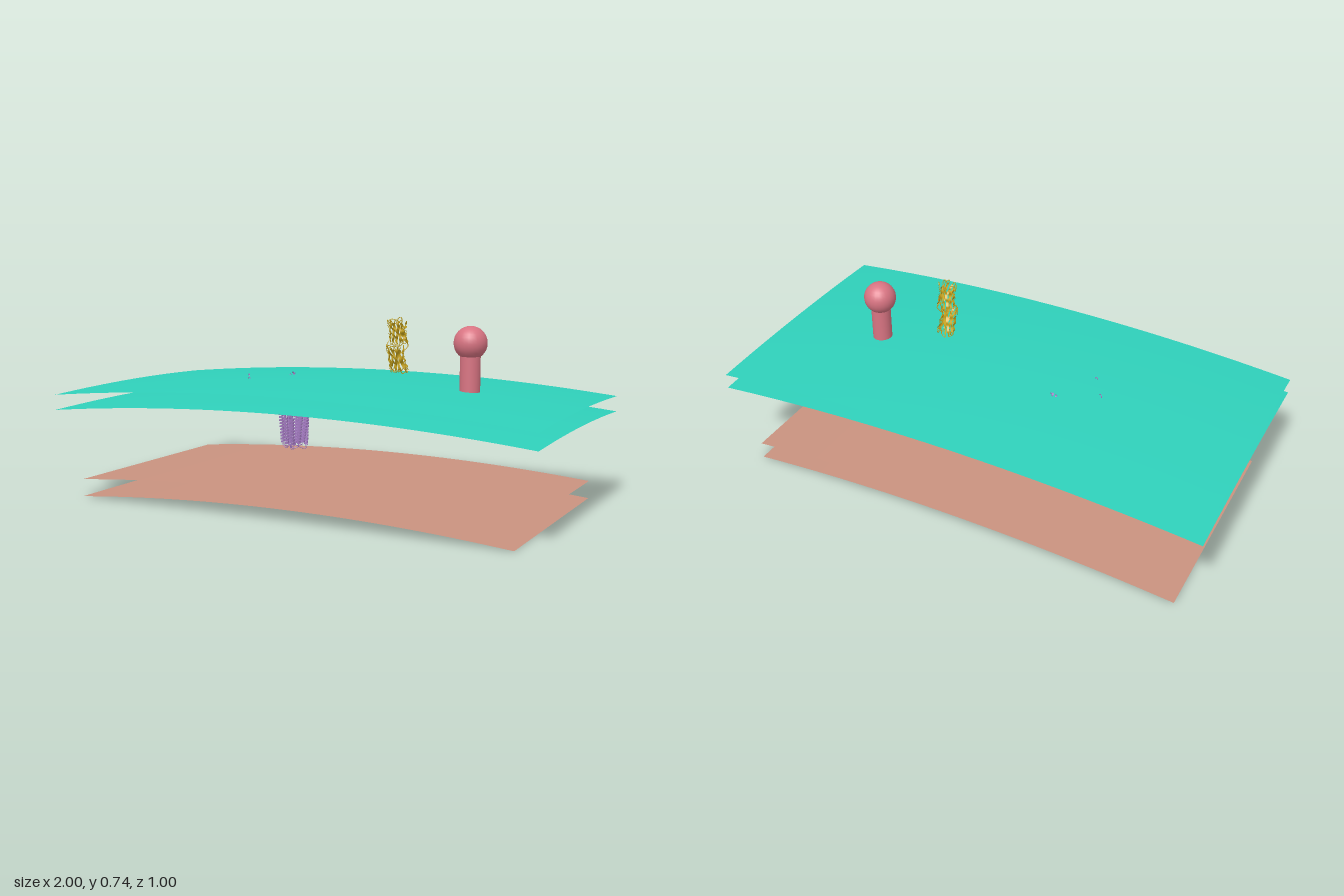
import * as THREE from 'three';
import { mergeGeometries } from 'three/addons/utils/BufferGeometryUtils.js';

const V = (x, y, z) => new THREE.Vector3(x, y, z);
const mat = (name, color, side = THREE.FrontSide) =>
  new THREE.MeshStandardMaterial({ name, color, side });

// small seeded generator, returns -1..1
function seeded(seed) {
  let s = seed;
  return () => {
    s = (s * 16807) % 2147483647;
    return (s / 2147483647) * 2 - 1;
  };
}

// open sheet bent downwards along x and z
function sheet(name, w, d, top, dropX, dropZ, material) {
  const g = new THREE.PlaneGeometry(w, d, 32, dropZ ? 16 : 1).rotateX(-Math.PI / 2);
  const p = g.attributes.position;
  for (let i = 0; i < p.count; i++) {
    const u = p.getX(i) / (w / 2), v = p.getZ(i) / (d / 2);
    p.setY(i, top - dropX * u * u - dropZ * v * v);
  }
  g.computeVertexNormals();
  const m = new THREE.Mesh(g, material);
  m.name = name;
  return m;
}

// flat strip following point(t), with its width along a fixed direction
function ribbon(point, across, n) {
  const pos = [], uv = [], idx = [];
  for (let i = 0; i <= n; i++) {
    const c = point(i / n);
    for (const s of [-0.5, 0.5]) {
      pos.push(...c.clone().addScaledVector(across, s).toArray());
      uv.push(i / n, s + 0.5);
    }
    if (i < n) idx.push(2 * i, 2 * i + 1, 2 * i + 2, 2 * i + 1, 2 * i + 3, 2 * i + 2);
  }
  const g = new THREE.BufferGeometry();
  g.setAttribute('position', new THREE.Float32BufferAttribute(pos, 3));
  g.setAttribute('uv', new THREE.Float32BufferAttribute(uv, 2));
  g.setIndex(idx);
  g.computeVertexNormals();
  return g;
}

function helix(a, b, r = 0.009) {
  const axis = b.clone().sub(a), len = axis.length();
  axis.normalize();
  const u = V(0.31, 0.2, 0.93).cross(axis).normalize();
  const v = axis.clone().cross(u);
  const turns = Math.max(2, Math.round(len / 0.0125));
  return ribbon(t => {
    const k = t * turns * Math.PI * 2;
    return a.clone().addScaledVector(axis, t * len)
      .addScaledVector(u, r * Math.cos(k)).addScaledVector(v, r * Math.sin(k));
  }, axis.clone().multiplyScalar(0.0075), turns * 12);
}

// gently waving flat strand
function strand(a, b, outward) {
  const axis = b.clone().sub(a);
  const across = axis.clone().cross(outward).normalize().multiplyScalar(0.009);
  return ribbon(t => a.clone().addScaledVector(axis, t)
    .addScaledVector(outward, 0.003 * Math.sin(t * 14)), across, 20);
}

const coil = (pts, r = 0.0016) =>
  new THREE.TubeGeometry(new THREE.CatmullRomCurve3(pts), pts.length * 6, r, 5);

// segments joined end to start by thin bulging loops
function chain(name, segments, make, bulge, material) {
  const geos = segments.map(make);
  for (let i = 0; i + 1 < segments.length; i++) {
    const a = segments[i][1], b = segments[i + 1][0];
    const out = a.clone().sub(segments[i][0]).normalize().multiplyScalar(bulge);
    geos.push(coil([a, a.clone().add(out), b.clone().add(out), b]));
  }
  const m = new THREE.Mesh(mergeGeometries(geos), material);
  m.name = name;
  return m;
}

export function createModel() {
  const root = new THREE.Group();
  const teal = mat('teal membrane', 0x2fd0ba, THREE.DoubleSide);
  const clay = mat('clay membrane', 0xc9927f, THREE.DoubleSide);
  const pink = mat('pink receptor', 0xd87482);
  const gold = mat('gold ribbon', 0xc9a51e, THREE.DoubleSide);
  const purple = mat('purple ribbon', 0xa67cc4, THREE.DoubleSide);

  // membranes
  root.add(
    sheet('outerMembraneTop', 2, 1, 0.477, 0.053, 0.011, teal),
    sheet('outerMembraneBottom', 2, 1, 0.416, 0.053, 0.011, teal),
    sheet('innerMembraneTop', 1.82, 0.91, 0.114, 0.044, 0, clay),
    sheet('innerMembraneBottom', 1.82, 0.91, 0.045, 0.045, 0, clay));

  // receptor: stalk and ball
  const receptor = new THREE.Group();
  receptor.name = 'receptor';
  const stalk = new THREE.Mesh(new THREE.CylinderGeometry(0.039, 0.039, 0.21, 24), pink);
  stalk.name = 'receptorStalk';
  stalk.position.y = 0.503;
  const ball = new THREE.Mesh(new THREE.SphereGeometry(0.064, 24, 16), pink);
  ball.name = 'receptorBall';
  ball.position.y = 0.643;
  receptor.add(stalk, ball);
  receptor.position.set(0.56, 0, -0.027);
  root.add(receptor);

  // gold protein: two barrels of strands, one above the other
  const lobes = [
    { name: 'goldUpperLobe', c: V(0.298, 0.678, 0.052), h: 0.033, lean: 0.012 },
    { name: 'goldLowerLobe', c: V(0.286, 0.575, 0.038), h: 0.036, lean: 0.016 }];
  const rnd = seeded(77);
  for (const { name, c, h, lean } of lobes) {
    const segs = [];
    for (let i = 0; i < 13; i++) {
      const k = (i / 13) * Math.PI * 2, s = i % 2 ? 1 : -1;
      const end = e => V(
        c.x + 0.034 * Math.cos(k + e * 0.35) + rnd() * 0.004,
        c.y + e * h + rnd() * 0.008,
        c.z + 0.02 * Math.sin(k + e * 0.35) + e * lean);
      segs.push([end(-s), end(s), V(Math.cos(k), 0, Math.sin(k))]);
    }
    root.add(chain(name, segs, q => strand(...q), 0.013, gold));
  }
  const tail = new THREE.Mesh(mergeGeometries([
    coil([V(0.305, 0.7, 0.06), V(0.32, 0.725, 0.065), V(0.316, 0.738, 0.07), V(0.305, 0.73, 0.072), V(0.31, 0.7, 0.066)]),
    coil([V(0.262, 0.65, 0.05), V(0.255, 0.63, 0.06), V(0.262, 0.605, 0.05)]),
    coil([V(0.32, 0.65, 0.045), V(0.33, 0.63, 0.03), V(0.315, 0.605, 0.04)]),
    coil([V(0.27, 0.55, 0.02), V(0.265, 0.525, 0.018), V(0.28, 0.524, 0.025), V(0.28, 0.55, 0.03)])]), gold);
  tail.name = 'goldLoops';
  root.add(tail);

  // purple helix bundle below the membrane, widening upwards
  const rp = seeded(4211);
  const bundle = [];
  for (let i = 0; i < 14; i++) {
    const inner = i > 9, k = inner ? ((i - 10) / 4) * Math.PI * 2 : (i / 10) * Math.PI * 2;
    const r = inner ? 0.024 : 0.054;
    const at = (y, f) => V(-0.224 + r * f * Math.cos(k) + rp() * 0.005, y + rp() * 0.01,
      -0.067 + r * f * Math.sin(k) + rp() * 0.005);
    const ends = [at(0.192, 0.85), at(0.31, 1.04)];
    bundle.push(i % 2 ? ends.reverse() : ends);
  }
  root.add(chain('purpleHelixBundle', bundle, q => helix(...q), 0.014, purple));

  // purple globular domain embedded in the lower leaf
  const domain = [];
  for (let i = 0; i < 18; i++) {
    const c = V(-0.365 + rp() * 0.052, 0.4 + rp() * 0.042, 0.035 + rp() * 0.06);
    const d = V(rp(), rp() * 0.6, rp()).normalize().multiplyScalar(0.02);
    domain.push([c.clone().sub(d), c.clone().add(d)]);
  }
  root.add(chain('purpleDomain', domain, q => helix(q[0], q[1], 0.008), 0.01, purple));

  // purple linker between the domain and the bundle, touching the upper leaf
  const linker = [
    [V(-0.33, 0.4, -0.01), V(-0.29, 0.44, -0.04)],
    [V(-0.3, 0.445, -0.07), V(-0.235, 0.45, -0.08)],
    [V(-0.27, 0.46, -0.1), V(-0.245, 0.478, -0.1)],
    [V(-0.26, 0.42, -0.09), V(-0.26, 0.35, -0.09)],
    [V(-0.29, 0.35, -0.12), V(-0.24, 0.345, -0.13)]];
  root.add(chain('purpleLinker', linker, q => helix(q[0], q[1], 0.008), 0.008, purple));

  // stray purple loops
  const loops = new THREE.Mesh(mergeGeometries([
    coil([V(-0.41, 0.44, -0.02), V(-0.415, 0.474, -0.025), V(-0.405, 0.475, -0.015), V(-0.4, 0.44, 0)]),
    coil([V(-0.36, 0.44, 0.07), V(-0.352, 0.475, 0.078), V(-0.346, 0.475, 0.08), V(-0.34, 0.44, 0.08)]),
    coil([V(-0.22, 0.45, -0.08), V(-0.2, 0.46, -0.1), V(-0.21, 0.43, -0.11), V(-0.25, 0.42, -0.1)]),
    coil([V(-0.4, 0.36, 0.08), V(-0.38, 0.345, 0.125), V(-0.35, 0.36, 0.12), V(-0.34, 0.38, 0.09)]),
    coil([V(-0.29, 0.35, -0.1), V(-0.3, 0.34, -0.145), V(-0.26, 0.36, -0.148), V(-0.23, 0.33, -0.13)])]), purple);
  loops.name = 'purpleLoops';
  root.add(loops);

  return root;
}
